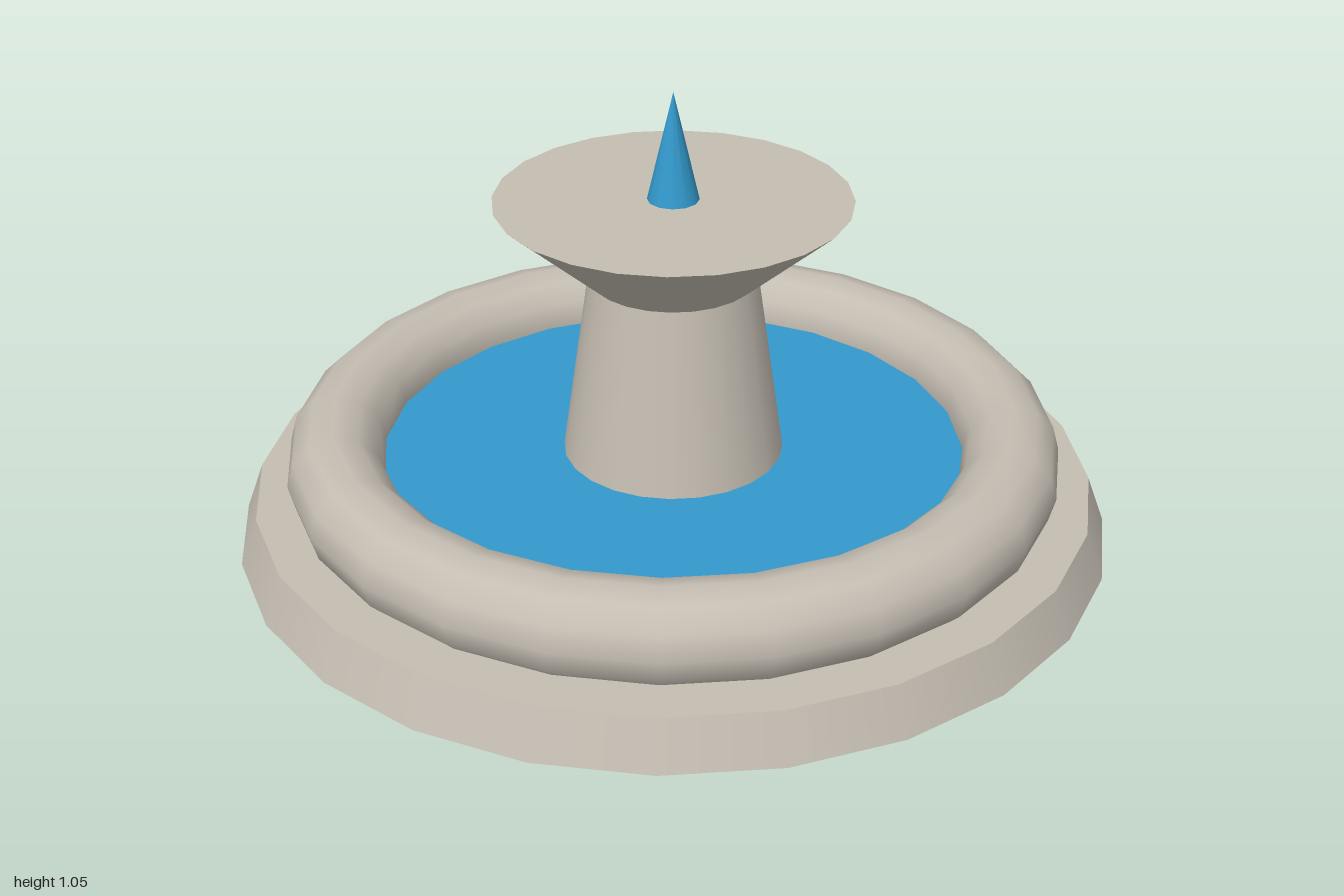
import * as THREE from 'three';

export function createModel() {
  const model = new THREE.Group();
  const stone = new THREE.MeshStandardMaterial({ color: 0xc4bdb2 });
  stone.name = 'stone';
  const water = new THREE.MeshStandardMaterial({ color: 0x3399cc });
  water.name = 'water';

  const add = (name, geometry, material, y) => {
    const mesh = new THREE.Mesh(geometry, material);
    mesh.name = name;
    mesh.position.y = y;
    model.add(mesh);
    return mesh;
  };
  // Tapered round part standing between two heights
  const drum = (name, rTop, rBottom, y0, y1, material, sides = 24) =>
    add(name, new THREE.CylinderGeometry(rTop, rBottom, y1 - y0, sides), material, (y0 + y1) / 2);

  drum('base', 0.96, 1, 0, 0.11, stone);

  // Rounded basin rim
  add('basinRim', new THREE.TorusGeometry(0.775, 0.11, 12, 24).rotateX(-Math.PI / 2), stone, 0.185);

  drum('poolWater', 0.69, 0.69, 0.11, 0.185, water);
  drum('pedestal', 0.19, 0.252, 0.18, 0.62, stone);
  drum('upperBowl', 0.4, 0.19, 0.615, 0.8, stone);

  // Pointed water jet
  add('waterJet', new THREE.ConeGeometry(0.058, 0.25, 12), water, 0.925);

  return model;
}
